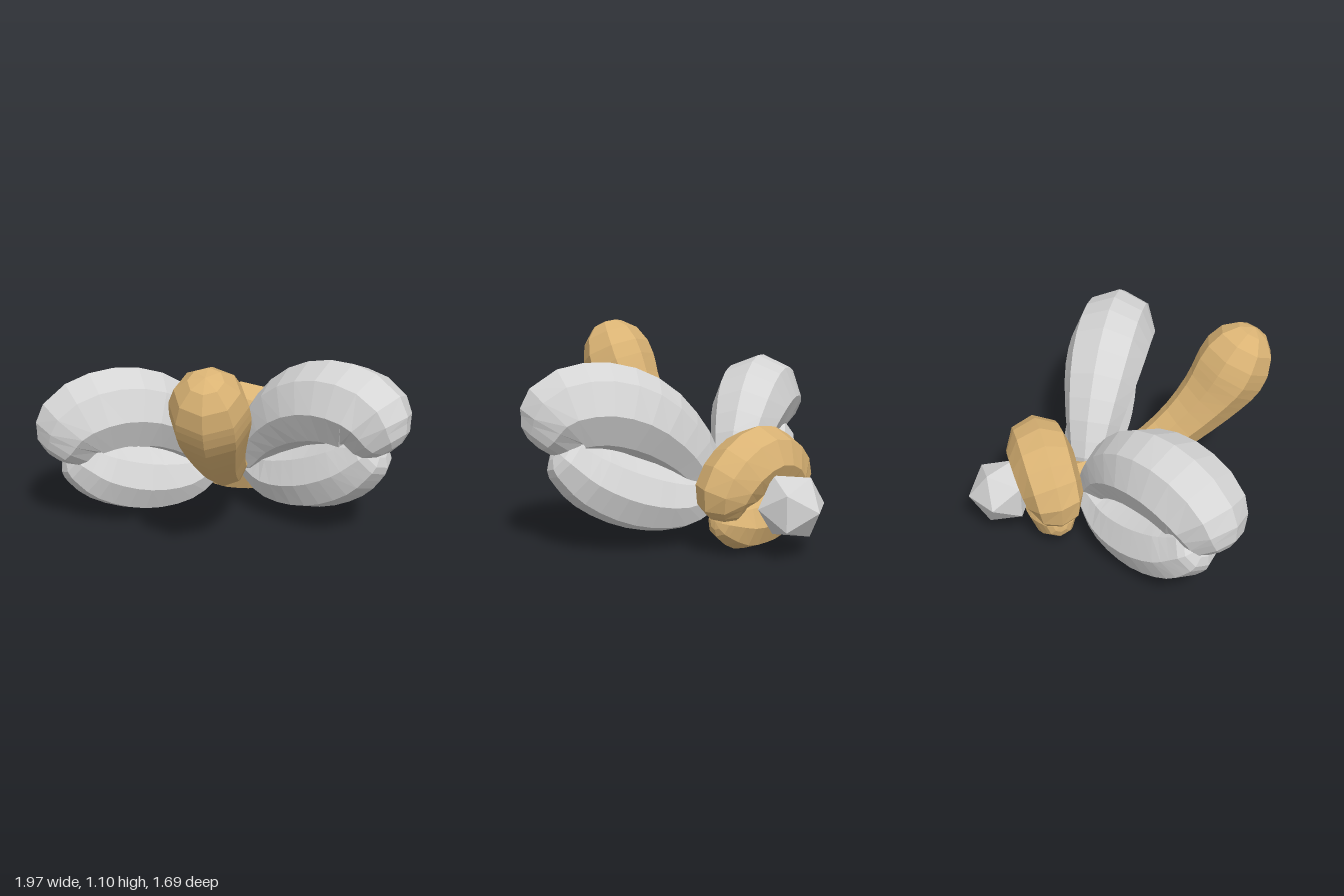
import * as THREE from 'three';

const SIDES = 8;
const gold = new THREE.MeshStandardMaterial({ color: 0xdab374, flatShading: true });
gold.name = 'gold';
const silver = new THREE.MeshStandardMaterial({ color: 0xd5d5d5, flatShading: true });
silver.name = 'silver';

// Sweeps an eight-sided tube through [x, y, z, radius] points, with domed ends.
function balloon(name, material, pts, normal, steps = 12, dome = 0.5) {
  const path = new THREE.CatmullRomCurve3(pts.map(p => new THREE.Vector3(p[0], p[1], p[2])));
  const girth = new THREE.CatmullRomCurve3(pts.map((p, i) => new THREE.Vector3(p[3], i, 0)));
  const rows = [];
  const addRow = (t, shift, scale) => {
    const dir = path.getTangent(t);
    const r = girth.getPoint(t).x;
    rows.push({ c: path.getPoint(t).addScaledVector(dir, shift * r), dir, r: r * scale });
  };
  const cap = [[1, 0.001], [0.87, 0.45], [0.5, 0.82]];
  cap.forEach(([s, k]) => addRow(0, -s * dome, k));
  for (let i = 0; i <= steps; i++) addRow(i / steps, 0, 1);
  [...cap].reverse().forEach(([s, k]) => addRow(1, s * dome, k));

  const pos = [], index = [];
  rows.forEach(({ c, dir, r }, i) => {
    const b = dir.clone().cross(normal).normalize();
    const n = b.clone().cross(dir).normalize();
    for (let j = 0; j < SIDES; j++) {
      const a = (j / SIDES) * Math.PI * 2;
      const v = c.clone().addScaledVector(n, Math.cos(a) * r).addScaledVector(b, Math.sin(a) * r);
      pos.push(v.x, v.y, v.z);
      if (i === rows.length - 1) continue;
      const p = i * SIDES + j, q = i * SIDES + (j + 1) % SIDES;
      index.push(p, q, q + SIDES, p, q + SIDES, p + SIDES);
    }
  });
  const geo = new THREE.BufferGeometry();
  geo.setAttribute('position', new THREE.Float32BufferAttribute(pos, 3));
  geo.setIndex(index);
  geo.computeVertexNormals();
  const mesh = new THREE.Mesh(geo, material);
  mesh.name = name;
  return mesh;
}

// Wing profiles: distance outward, height, radius
const UPPER = [[0.1, 0.32, 0.11], [0.22, 0.5, 0.165], [0.4, 0.65, 0.215], [0.6, 0.705, 0.23], [0.775, 0.66, 0.22], [0.84, 0.56, 0.17]];
const LOWER = [[0.1, 0.265, 0.09], [0.26, 0.22, 0.155], [0.47, 0.25, 0.185], [0.67, 0.345, 0.175], [0.79, 0.45, 0.135]];

export function createModel() {
  const model = new THREE.Group();
  model.name = 'balloonFigure';
  const midX = 0.02;

  // Swept-forward wing loops, the left one sitting a little higher
  for (const side of [1, -1]) {
    const wing = new THREE.Group();
    wing.name = side > 0 ? 'leftWing' : 'rightWing';
    const normal = new THREE.Vector3(-0.47 * side, 0, 0.88);
    const place = back => ([d, y, r]) => [side * d, y + side * d * 0.085, back + d * 0.54, r];
    wing.add(balloon('upperWing', silver, UPPER.map(place(-0.205)), normal));
    wing.add(balloon('lowerWing', silver, LOWER.map(place(-0.25)), normal));
    model.add(wing);
  }

  // Long body rising forward to a rounded end
  const body = [[-0.28, 0.29, 0.07], [-0.05, 0.31, 0.09], [0.17, 0.39, 0.115], [0.36, 0.53, 0.135],
    [0.52, 0.69, 0.17], [0.615, 0.82, 0.2], [0.665, 0.915, 0.195]];
  model.add(balloon('body', gold, body.map(([z, y, r]) => [midX, y, z, r]),
    new THREE.Vector3(1, 0, 0), 14, 0.95));

  // Rear loop: an arch above and a shallow sag below, meeting at the sides
  const zAxis = new THREE.Vector3(0, 0, 1);
  const arch = [[-0.22, 0.24, -0.4, 0.11], [-0.225, 0.33, -0.41, 0.155], [-0.14, 0.43, -0.43, 0.17],
    [0, 0.475, -0.435, 0.177], [0.14, 0.43, -0.43, 0.17], [0.225, 0.33, -0.41, 0.155], [0.22, 0.24, -0.4, 0.11]];
  const sag = [[-0.23, 0.18, -0.4, 0.09], [-0.12, 0.15, -0.4, 0.135], [0, 0.143, -0.4, 0.143],
    [0.12, 0.15, -0.4, 0.135], [0.23, 0.18, -0.4, 0.09]];
  const shift = ([x, y, z, r]) => [x + midX, y, z, r];
  model.add(balloon('rearArch', gold, arch.map(shift), zAxis, 12, 0.4));
  model.add(balloon('rearSag', gold, sag.map(shift), zAxis, 8, 0.6));

  // Faceted knob at the back, one corner pointing straight back
  const knobGeo = new THREE.IcosahedronGeometry(0.182, 0);
  knobGeo.rotateX(0.5536).rotateZ(Math.PI / 2);
  const knob = new THREE.Mesh(knobGeo, silver);
  knob.name = 'rearKnob';
  knob.position.set(midX, 0.272, -0.662);
  model.add(knob);

  return model;
}
